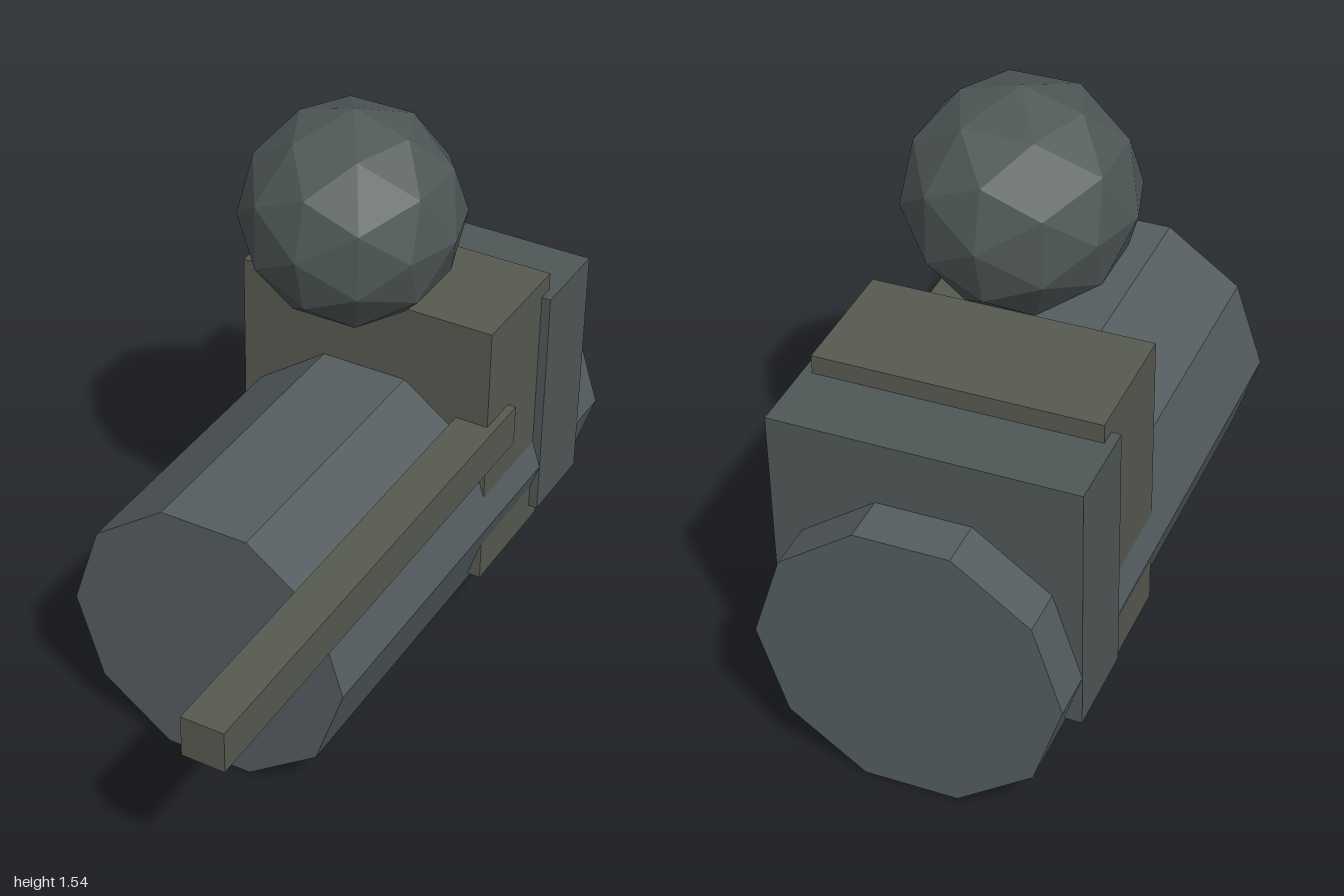
import * as THREE from 'three';

const material = (color) => new THREE.MeshStandardMaterial({ color, flatShading: true });

export function createModel() {
  const model = new THREE.Group();
  model.name = 'model';
  const slate = material(0x555d60);
  const steel = material(0x4f5857);
  const olive = material(0x575a50);

  const add = (name, geometry, mat, x, y, z) => {
    const mesh = new THREE.Mesh(geometry, mat);
    mesh.name = name;
    mesh.position.set(x, y, z);
    model.add(mesh);
  };
  // box given by its [min, max] extents on each axis
  const addBox = (name, mat, [x0, x1], [y0, y1], [z0, z1]) =>
    add(name, new THREE.BoxGeometry(x1 - x0, y1 - y0, z1 - z0), mat,
      (x0 + x1) / 2, (y0 + y1) / 2, (z0 + z1) / 2);

  // ten-sided barrel lying along z, resting on a flat side
  const radius = 0.39;
  const barrel = new THREE.CylinderGeometry(radius, radius, 1.46, 10, 1, false, Math.PI / 2);
  barrel.rotateX(Math.PI / 2);
  add('barrelBody', barrel, slate, 0, radius * Math.cos(Math.PI / 10), -0.27);

  // upright block straddling the barrel, with a pack behind it
  addBox('torso', olive, [-0.365, 0.365], [0.18, 0.96], [-0.68, -0.34]);
  addBox('backPack', steel, [-0.39, 0.39], [0.23, 0.91], [-0.875, -0.635]);

  // long bar along the left side
  addBox('sideBar', olive, [0.273, 0.388], [0.56, 0.675], [-0.46, 1]);

  // faceted ball above the torso
  add('head', new THREE.IcosahedronGeometry(0.29, 1), steel, 0, 1.25, -0.267);

  return model;
}
